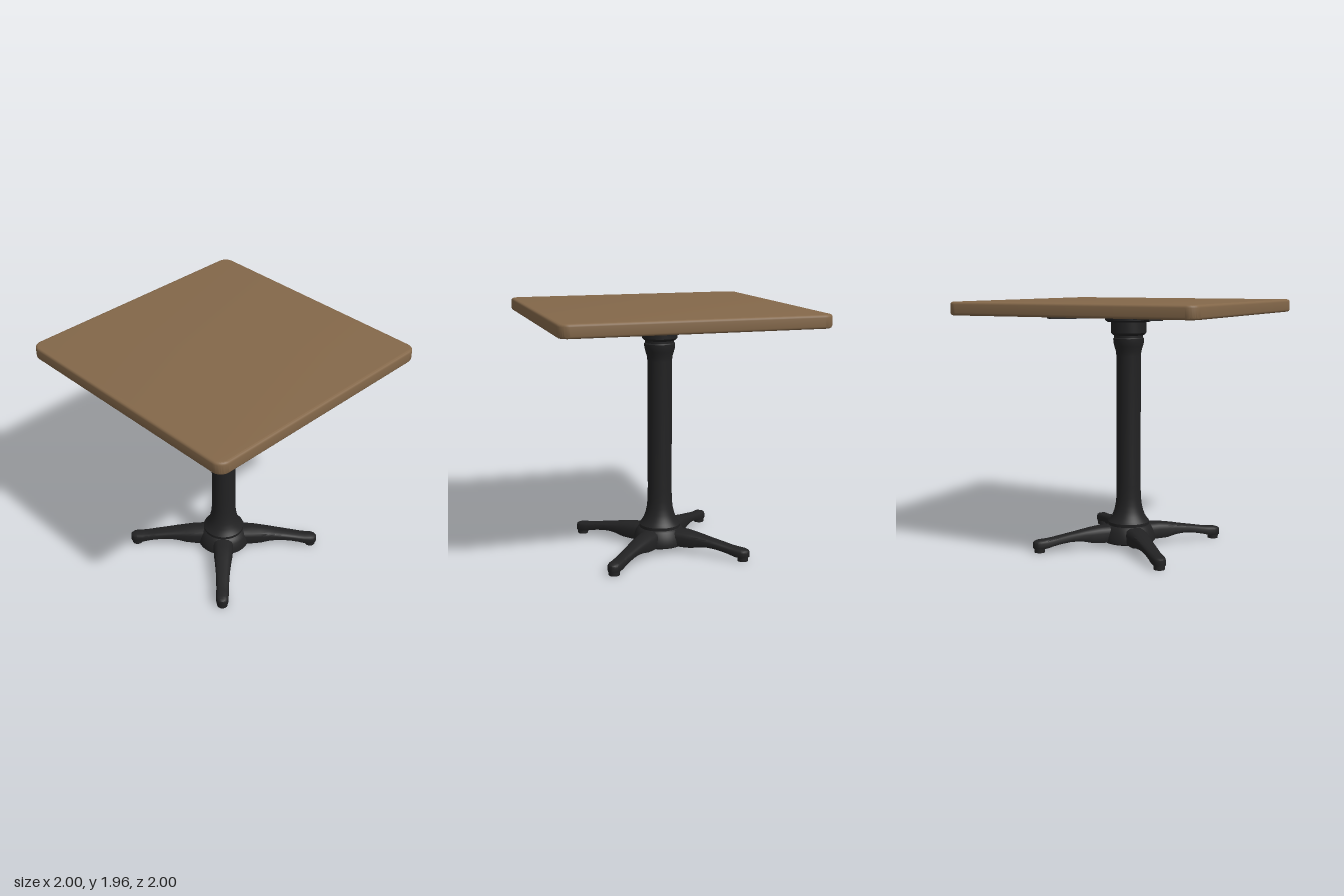
import * as THREE from 'three';
import { toCreasedNormals } from 'three/addons/utils/BufferGeometryUtils.js';

const wood = new THREE.MeshStandardMaterial({ color: 0x84684a });
const iron = new THREE.MeshStandardMaterial({ color: 0x222223 });

function addMesh(parent, name, geometry, material, x = 0, y = 0, z = 0) {
  const mesh = new THREE.Mesh(geometry, material);
  mesh.name = name;
  mesh.position.set(x, y, z);
  parent.add(mesh);
  return mesh;
}

const lathe = (pairs) => toCreasedNormals(
  new THREE.LatheGeometry(pairs.map(([r, y]) => new THREE.Vector2(r, y)), 48), 0.6);

// Square top with rounded corners and softened edges
function topGeometry() {
  const bevel = 0.02, h = 1 - bevel, r = 0.06;
  const s = new THREE.Shape();
  s.moveTo(-h + r, -h);
  s.absarc(h - r, -h + r, r, -Math.PI / 2, 0);
  s.absarc(h - r, h - r, r, 0, Math.PI / 2);
  s.absarc(-h + r, h - r, r, Math.PI / 2, Math.PI);
  s.absarc(-h + r, -h + r, r, Math.PI, Math.PI * 1.5);
  const g = new THREE.ExtrudeGeometry(s, {
    depth: 0.06, bevelEnabled: true, bevelSize: bevel, bevelThickness: bevel,
    bevelSegments: 4, curveSegments: 8,
  });
  g.rotateX(-Math.PI / 2);
  return toCreasedNormals(g, 0.6);
}

// Arched leg lofted along +x; each station is [distance, half width, bottom, top]
function legGeometry() {
  const stations = [
    [0.08, 0.085, 0.05, 0.176], [0.24, 0.078, 0.05, 0.174], [0.31, 0.07, 0.052, 0.165],
    [0.38, 0.064, 0.068, 0.153], [0.44, 0.059, 0.074, 0.141], [0.5, 0.055, 0.072, 0.131],
    [0.57, 0.052, 0.062, 0.119], [0.63, 0.05, 0.049, 0.108], [0.68, 0.05, 0.035, 0.102],
    [0.733, 0.05, 0.031, 0.099], [0.758, 0.044, 0.031, 0.094],
    [0.775, 0.03, 0.032, 0.088], [0.784, 0.012, 0.035, 0.082],
  ];
  // Flat-bottomed section with rounded shoulders: [across, up]
  const section = [[-0.94, 0], [-1, 0.12], [-1, 0.6], [-0.88, 0.83], [-0.55, 0.97], [0, 1],
    [0.55, 0.97], [0.88, 0.83], [1, 0.6], [1, 0.12], [0.94, 0]];
  const n = section.length, pos = [], index = [];
  for (const [d, w, y0, y1] of stations)
    for (const [a, u] of section) pos.push(d, y0 + (y1 - y0) * u, a * w);
  for (let i = 0; i < stations.length - 1; i++)
    for (let j = 0; j < n; j++) {
      const a = i * n + j, b = i * n + (j + 1) % n;
      index.push(a, a + n, b, b, a + n, b + n);
    }
  const last = (stations.length - 1) * n;
  for (let j = 1; j < n - 1; j++) {
    index.push(0, j, j + 1);
    index.push(last, last + j + 1, last + j);
  }
  const g = new THREE.BufferGeometry();
  g.setAttribute('position', new THREE.Float32BufferAttribute(pos, 3));
  // Winding follows the outward side of the section
  for (let k = 0; k < index.length; k += 3) {
    const t = index[k + 1];
    index[k + 1] = index[k + 2];
    index[k + 2] = t;
  }
  g.setIndex(index);
  return toCreasedNormals(orientOutward(g), 0.7);
}

// Flips every face if the enclosed volume comes out negative
function orientOutward(g) {
  const p = g.attributes.position, ix = g.index.array;
  const [a, b, c] = [0, 1, 2].map(() => new THREE.Vector3());
  let volume = 0;
  for (let k = 0; k < ix.length; k += 3) {
    a.fromBufferAttribute(p, ix[k]);
    b.fromBufferAttribute(p, ix[k + 1]);
    c.fromBufferAttribute(p, ix[k + 2]);
    volume += a.dot(b.cross(c));
  }
  if (volume < 0)
    for (let k = 0; k < ix.length; k += 3) [ix[k + 1], ix[k + 2]] = [ix[k + 2], ix[k + 1]];
  return g;
}

export function createModel() {
  const model = new THREE.Group();
  model.name = 'pedestalTable';

  addMesh(model, 'tableTop', topGeometry(), wood, 0, 1.875, 0);

  // Turned column with flared foot and collar
  addMesh(model, 'column', lathe([
    [0, 0.17], [0.163, 0.17], [0.165, 0.2], [0.148, 0.22], [0.13, 0.25], [0.115, 0.29],
    [0.104, 0.34], [0.098, 0.4], [0.096, 0.5], [0.096, 1.52], [0.1, 1.56], [0.112, 1.6],
    [0.12, 1.63], [0.121, 1.66], [0.113, 1.668], [0.113, 1.685], [0.125, 1.69],
    [0.138, 1.705], [0.138, 1.8], [0, 1.8],
  ]), iron);
  addMesh(model, 'topFlange', lathe([
    [0, 1.79], [0.165, 1.79], [0.184, 1.803], [0.184, 1.822], [0, 1.822],
  ]), iron);

  // Domed hub joining the legs
  addMesh(model, 'baseHub', lathe([
    [0, 0.04], [0.2, 0.04], [0.213, 0.05], [0.213, 0.07], [0.207, 0.1], [0.195, 0.135],
    [0.178, 0.165], [0.16, 0.178], [0, 0.178],
  ]), iron);

  // Diagonal support arms, legs and feet
  const leg = legGeometry();
  const pad = new THREE.CylinderGeometry(0.042, 0.042, 0.034, 24);
  const arm = new THREE.BoxGeometry(0.64, 0.037, 0.105);
  for (let i = 0; i < 4; i++) {
    const quarter = new THREE.Group();
    quarter.name = 'legAssembly' + (i + 1);
    quarter.rotation.y = Math.PI / 4 + i * Math.PI / 2;
    addMesh(quarter, 'leg', leg, iron);
    addMesh(quarter, 'footPad', pad, iron, 0.733, 0.017, 0);
    addMesh(quarter, 'supportArm', arm, iron, 0.32, 1.8385, 0);
    model.add(quarter);
  }
  return model;
}
